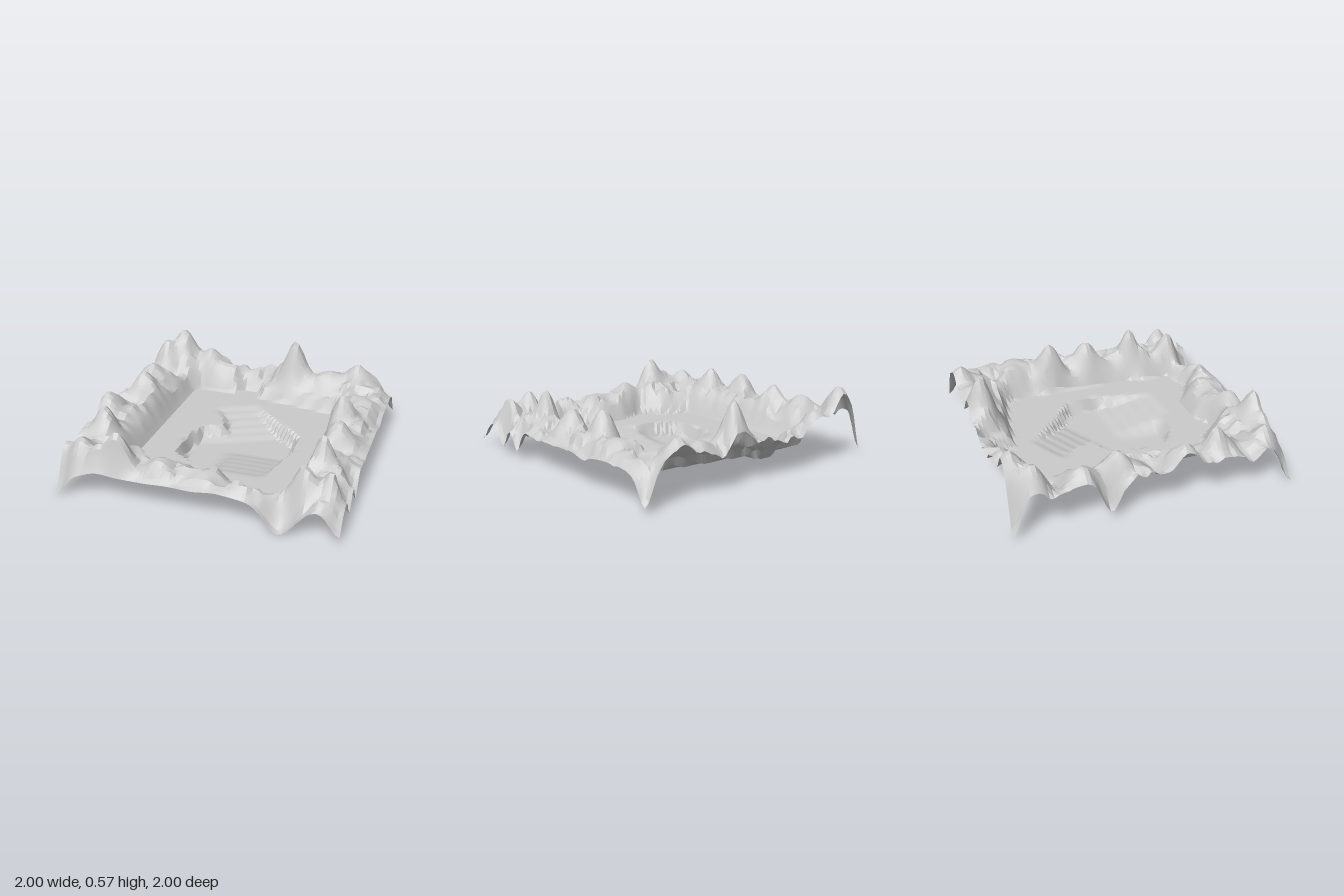
import * as THREE from 'three';
import { toCreasedNormals } from 'three/addons/utils/BufferGeometryUtils.js';

const N = 64; // grid cells per side

// Outline of the flat valley floor, as x, z corners
const VALLEY = [[-0.64, -0.7], [-0.58, -0.78], [-0.27, -0.77], [-0.22, -0.86], [-0.1, -0.85],
  [-0.06, -0.73], [0.2, -0.7], [0.56, -0.63], [0.62, -0.56], [0.64, -0.4], [0.61, -0.3],
  [0.62, 0], [0.63, 0.4], [0.58, 0.53], [0.6, 0.74], [0.36, 0.81], [0.25, 0.74], [0.12, 0.66],
  [-0.1, 0.66], [-0.3, 0.74], [-0.42, 0.6], [-0.63, 0.52]];

// Outline of the sunken pit
const PIT = [[-0.2, -0.56], [-0.04, -0.61], [0.05, -0.52], [0.25, -0.32], [0.42, -0.18],
  [0.45, 0.05], [0.4, 0.22], [0.36, 0.5], [0.0, 0.52], [-0.04, 0.43], [-0.2, 0.43],
  [-0.36, 0.34], [-0.39, 0.1], [-0.34, -0.12], [-0.18, -0.18], [-0.22, -0.3], [-0.36, -0.46]];

// Mountain tops: x, z, height, radius
const PEAKS = [[-0.79, -0.95, 0.54, 0.12], [-0.9, -0.83, 0.48, 0.1], [0.19, -0.9, 0.57, 0.1],
  [-0.55, 0.92, 0.51, 0.11], [-0.68, 0.92, 0.4, 0.08], [0.71, 0.8, 0.45, 0.09],
  [0.76, 0.47, 0.49, 0.08], [-0.85, 0.47, 0.46, 0.09], [-0.95, 0.2, 0.44, 0.11],
  [-0.87, -0.25, 0.44, 0.11], [0.7, -0.94, 0.42, 0.1], [0.49, -0.9, 0.35, 0.12],
  [-0.25, 0.88, 0.35, 0.1], [0.78, 0.1, 0.42, 0.09], [0.74, -0.22, 0.47, 0.1],
  [-0.85, 0.85, 0.4, 0.1], [-0.55, -0.94, 0.4, 0.1], [0.82, -0.5, 0.34, 0.1],
  [0.9, 0.77, 0.4, 0.08], [-0.9, -0.5, 0.39, 0.1], [0.05, 0.86, 0.3, 0.09]];

// Low points along the border: x, z, height, radius
const DIPS = [[-1, 1, 0, 0.11], [1, -1, 0.04, 0.08], [1, 1, 0.06, 0.08], [-1, -1, 0.02, 0.07],
  [1, 0.7, 0.06, 0.07], [1, 0.5, 0.06, 0.06], [-1, -0.33, 0.06, 0.08], [0.6, 1, 0, 0.14]];

const clamp = THREE.MathUtils.clamp, mix = THREE.MathUtils.lerp;
const smooth = THREE.MathUtils.smoothstep;

// Signed distance to an outline, negative inside
function distanceTo(outline, x, z) {
  let best = 9, inside = false;
  outline.forEach(([ax, az], i) => {
    const [bx, bz] = outline[(i + 1) % outline.length];
    const dx = bx - ax, dz = bz - az;
    const t = clamp(((x - ax) * dx + (z - az) * dz) / (dx * dx + dz * dz), 0, 1);
    best = Math.min(best, Math.hypot(x - ax - t * dx, z - az - t * dz));
    if ((az > z) !== (bz > z) && x < ax + (z - az) * dx / dz) inside = !inside;
  });
  return inside ? -best : best;
}

function hash(i, j) {
  const s = Math.sin(i * 127.1 + j * 311.7) * 43758.5453;
  return s - Math.floor(s);
}

function noise(x, z) {
  const i = Math.floor(x), j = Math.floor(z);
  const u = smooth(x - i, 0, 1), v = smooth(z - j, 0, 1);
  return mix(mix(hash(i, j), hash(i + 1, j), u), mix(hash(i, j + 1), hash(i + 1, j + 1), u), v);
}

const falloff = (x, z, [px, pz, , r]) => Math.exp(-((x - px) ** 2 + (z - pz) ** 2) / (r * r));

// Stepped slope from 0 to 0.1
function stairs(t) {
  const s = clamp(t, 0, 1) * 5, k = Math.floor(s);
  return (k + smooth(s - k, 0.3, 1)) * 0.02;
}

function pitHeight(x, z) {
  // Back ramp runs down toward the middle, front ramp climbs toward the front
  const back = stairs((-0.11 - z - 0.5 * x) / 0.52) * (1 - smooth(z, -0.12, 0));
  const front = stairs((z - 0.03) / 0.47) * smooth(x, -0.12, 0.02);
  return Math.max(back, front);
}

function height(x, z) {
  const pit = distanceTo(PIT, x, z);
  if (pit < 0) return mix(0.1, pitHeight(x, z), smooth(-pit, 0, 0.045));
  const rim = distanceTo(VALLEY, x, z);
  if (rim <= 0) return 0.1;

  // Shelf above the valley wall, rough ground, then mountains
  const rough = 0.09 * noise(x * 9 + 20, z * 9 + 20) + 0.07 * noise(x * 19 + 50, z * 19 + 50);
  const shelf = z < -0.7 && x > -0.1 ? 0.07 : 0.02;
  let h = 0.19 + rough * smooth(rim, shelf, shelf + 0.1);
  for (const p of PEAKS) h = mix(h, Math.max(h, p[2]), falloff(x, z, p));

  // Outer border settles along the front and one side
  const border = 0.17 + 0.06 * noise(x * 6 + 9, z * 6 + 9);
  h = mix(h, Math.min(h, border), Math.max(smooth(z, 0.92, 1), 0.8 * smooth(x, 0.9, 1)));
  for (const d of DIPS) h = mix(h, d[2], falloff(x, z, d));
  return mix(0.1, h, smooth(rim, -0.01, 0.05));
}

export function createModel() {
  const model = new THREE.Group();
  const ground = new THREE.PlaneGeometry(2, 2, N, N).rotateX(-Math.PI / 2);
  const p = ground.attributes.position;
  for (let i = 0; i < p.count; i++) p.setY(i, height(p.getX(i), p.getZ(i)));
  const terrain = new THREE.Mesh(
    toCreasedNormals(ground, 0.4),
    new THREE.MeshStandardMaterial({ color: 0xcccccc, side: THREE.DoubleSide })
  );
  terrain.name = 'mountainTerrain';
  model.add(terrain);
  return model;
}
